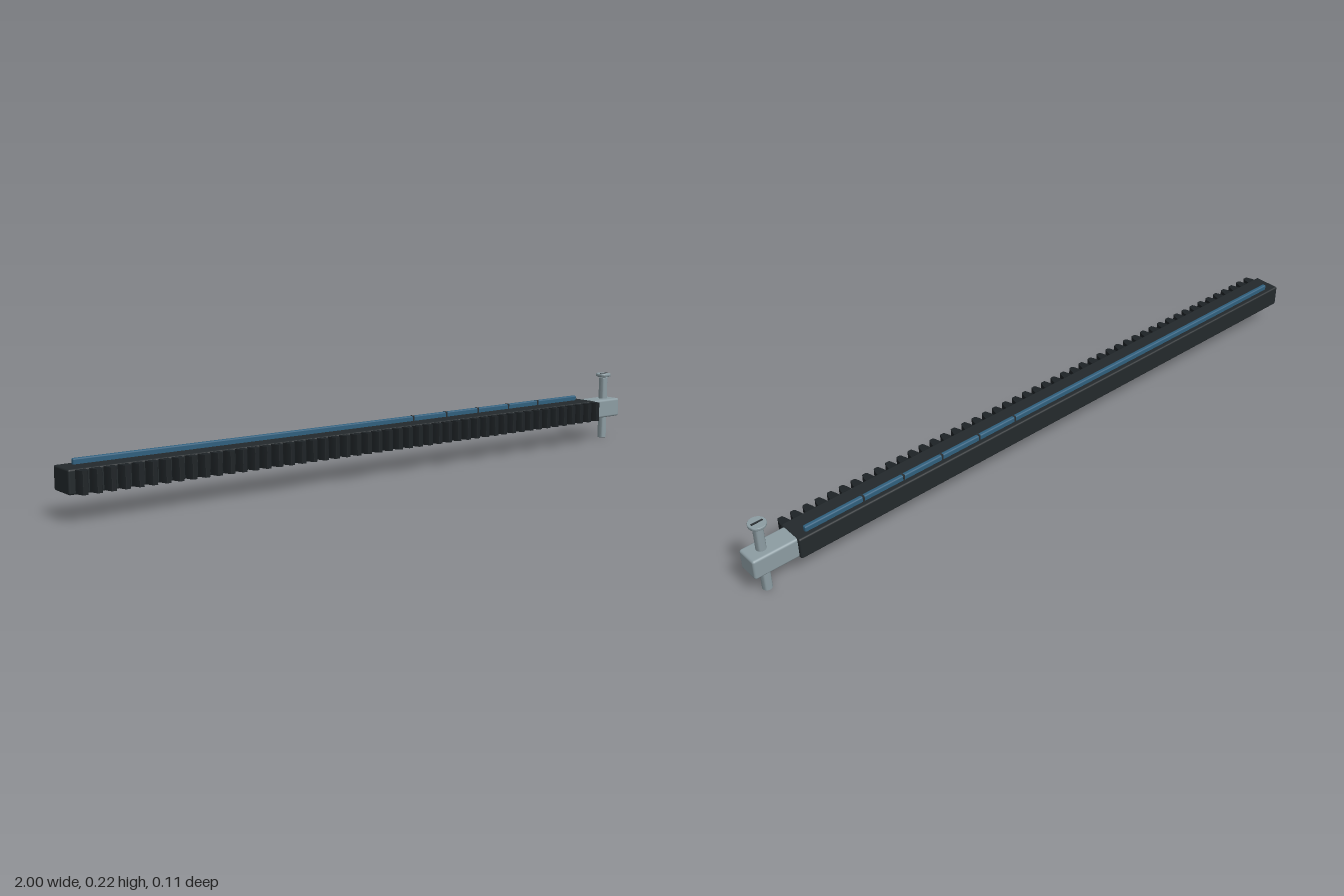
import * as THREE from 'three';
import { RoundedBoxGeometry } from 'three/addons/geometries/RoundedBoxGeometry.js';
import { toCreasedNormals } from 'three/addons/utils/BufferGeometryUtils.js';

const material = (color) => new THREE.MeshStandardMaterial({ color });

export function createModel() {
  const model = new THREE.Group();
  const rubber = material(0x23292c);
  const toothRubber = material(0x1d2225);
  const steel = material(0x8c9ca2);
  const blue = material(0x2f5f7d);
  const dark = material(0x2a2f32);
  const midY = 0.103, midZ = -0.0125;

  const add = (name, geometry, mat, x, y, z, parent = model) => {
    const mesh = new THREE.Mesh(geometry, mat);
    mesh.name = name;
    mesh.position.set(x, y, z);
    parent.add(mesh);
    return mesh;
  };

  // Long bar and the metal lug at its end
  add('bar', new RoundedBoxGeometry(1.87, 0.064, 0.085, 2, 0.005), rubber, -0.065, midY, midZ);
  add('endLug', new RoundedBoxGeometry(0.15, 0.06, 0.067, 3, 0.007), steel, 0.925, midY, midZ);

  // Row of tapered teeth along the front, profile drawn in plan
  const profile = new THREE.Shape();
  profile.moveTo(-0.0145, -0.002);
  profile.lineTo(0.0145, -0.002);
  profile.lineTo(0.013, 0.008);
  profile.lineTo(0.008, 0.024);
  profile.quadraticCurveTo(0.007, 0.027, 0.004, 0.027);
  profile.lineTo(-0.004, 0.027);
  profile.quadraticCurveTo(-0.007, 0.027, -0.008, 0.024);
  profile.lineTo(-0.013, 0.008);
  profile.closePath();
  let toothGeometry = new THREE.ExtrudeGeometry(profile, { depth: 0.06, bevelEnabled: false, curveSegments: 4 });
  toothGeometry.rotateX(Math.PI / 2);
  toothGeometry = toCreasedNormals(toothGeometry, 0.6);
  const teeth = new THREE.Group();
  teeth.name = 'teeth';
  model.add(teeth);
  const count = 49;
  for (let i = 0; i < count; i++) {
    add('tooth', toothGeometry, toothRubber, -0.968 + (i * 1.824) / (count - 1), 0.133, 0.03, teeth);
  }

  // Raised strip on top, with small marker bands
  add('topStrip', new RoundedBoxGeometry(1.8, 0.022, 0.013, 2, 0.004), blue, -0.06, 0.139, -0.0325);
  for (let i = 0; i < 5; i++) {
    add('stripMarker', new THREE.BoxGeometry(0.006, 0.0185, 0.0136), dark, 0.135 + i * 0.131, 0.1412, -0.0325);
  }

  // Vertical pin with a flared, slotted head
  const pin = new THREE.Group();
  pin.name = 'pin';
  pin.position.set(0.955, 0, midZ);
  model.add(pin);
  const outline = [
    [0, 0], [0.0125, 0], [0.0138, 0.0015], [0.0138, 0.202], [0.0125, 0.2035], [0.0125, 0.205],
    [0.019, 0.206], [0.0235, 0.208], [0.0245, 0.21], [0.0245, 0.2155], [0.0235, 0.217], [0, 0.217],
  ].map(([r, y]) => new THREE.Vector2(r, y));
  add('pinBody', toCreasedNormals(new THREE.LatheGeometry(outline, 32), 0.6), steel, 0, 0, 0, pin);
  add('headSlot', new THREE.BoxGeometry(0.034, 0.002, 0.006), dark, 0, 0.217, 0, pin);

  return model;
}
